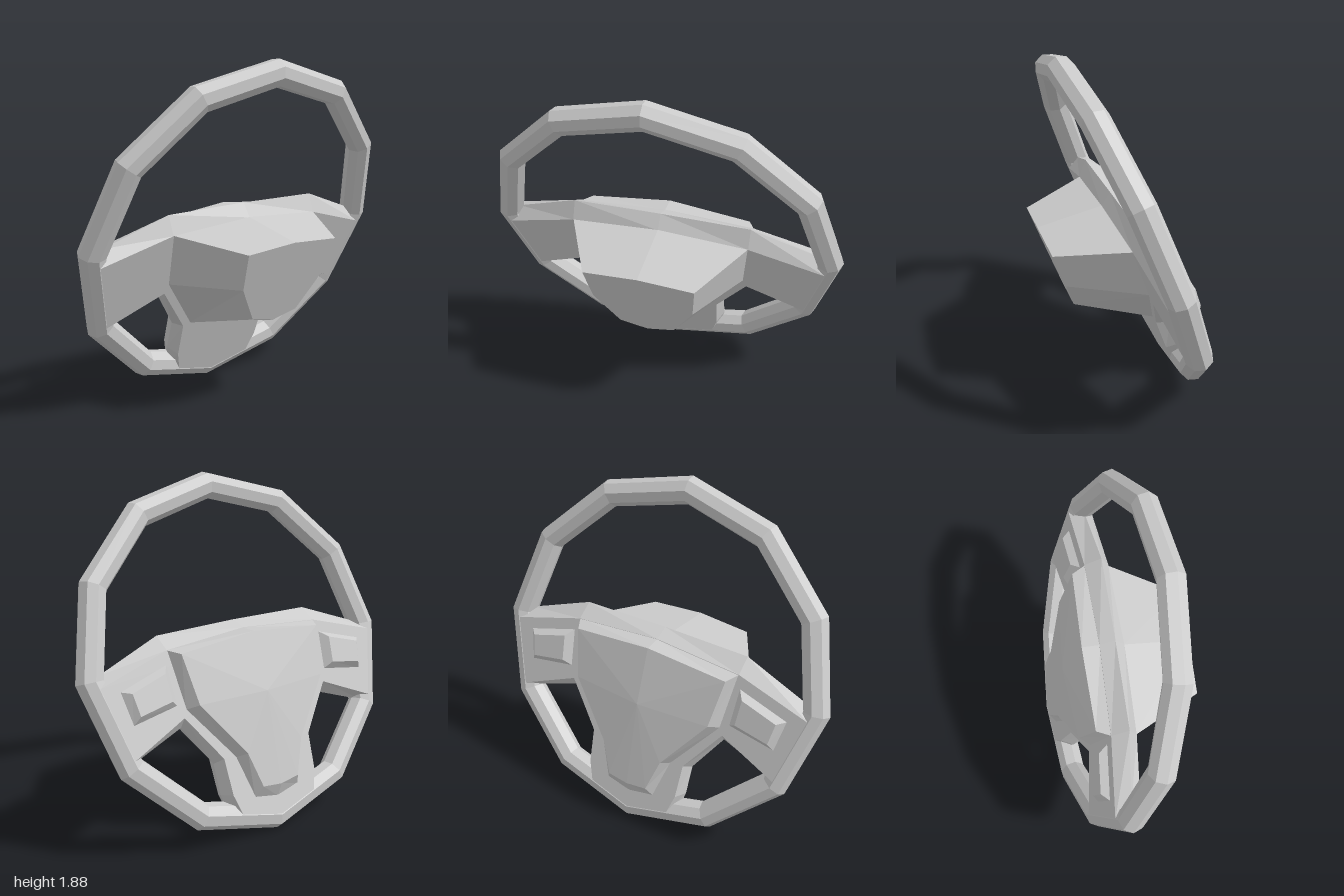
import * as THREE from 'three';

const material = new THREE.MeshStandardMaterial({ color: 0xcccccc, flatShading: true });

// Half outline (top centre, down the +x side, to bottom centre) mirrored into a closed loop
function mirrored(half) {
  const other = half.filter(p => p[0] > 0).map(([x, y, z]) => [-x, y, z]).reverse();
  return [...half, ...other];
}

const atZ = (points, z) => points.map(([x, y]) => [x, y, z]);

// Skins loops ordered from back (-z) to front (+z); each runs clockwise seen from +z.
// The back closes flat, or as a fan to an apex; the front closes flat if asked.
function loft(name, loops, { apex = null, capBack = false, capFront = false }) {
  const pos = [];
  const tri = (a, b, c) => pos.push(...a, ...b, ...c);
  const n = loops[0].length;
  for (let k = 0; k < loops.length - 1; k++) {
    const A = loops[k], B = loops[k + 1];
    for (let i = 0; i < n; i++) {
      const j = (i + 1) % n;
      tri(A[i], B[j], A[j]);
      tri(A[i], B[i], B[j]);
    }
  }
  const cap = (loop, sign) => {
    const flat = loop.map(p => new THREE.Vector2(p[0], p[1]));
    for (const [a, b, c] of THREE.ShapeUtils.triangulateShape(flat, [])) {
      const area = THREE.ShapeUtils.area([flat[a], flat[b], flat[c]]);
      if (area * sign > 0) tri(loop[a], loop[b], loop[c]);
      else tri(loop[a], loop[c], loop[b]);
    }
  };
  if (capBack) cap(loops[0], -1);
  if (capFront) cap(loops[loops.length - 1], 1);
  if (apex) loops[0].forEach((p, i) => tri(apex, p, loops[0][(i + 1) % n]));
  const geometry = new THREE.BufferGeometry();
  geometry.setAttribute('position', new THREE.Float32BufferAttribute(pos, 3));
  geometry.computeVertexNormals();
  const mesh = new THREE.Mesh(geometry, material);
  mesh.name = name;
  return mesh;
}

export function createModel() {
  const model = new THREE.Group();
  model.name = 'steeringWheel';

  // Everything is built in the wheel plane, then tilted
  const wheel = new THREE.Group();
  wheel.name = 'tiltedWheel';
  wheel.position.set(0, 0.941, -0.047);
  wheel.rotation.x = THREE.MathUtils.degToRad(20);
  model.add(wheel);

  // Twelve-sided rim with an octagonal section
  const rim = new THREE.Mesh(new THREE.TorusGeometry(0.925, 0.075, 8, 12), material);
  rim.name = 'rim';
  wheel.add(rim);

  // Spoke plate: two side arms and a lower arm, with bevelled edges
  const face = mirrored([
    [0, 0.117], [0.5, 0.08], [0.914, -0.04], [0.811, -0.425], [0.48, -0.28],
    [0.295, -0.54], [0.285, -0.74], [0.25, -0.855], [0, -0.92],
  ]);
  const edge = mirrored([
    [0, 0.172], [0.5, 0.165], [0.87, 0.025], [0.80, -0.45], [0.47, -0.33],
    [0.32, -0.56], [0.317, -0.73], [0.29, -0.845], [0, -0.925],
  ]);
  wheel.add(loft('spokes', [atZ(face, -0.073), atZ(edge, 0), atZ(face, 0.073)],
    { capBack: true, capFront: true }));

  // Tapered column housing on the front
  const housingBase = mirrored([
    [0, 0.118], [0.5, 0.08], [0.465, -0.227], [0.25, -0.53], [0, -0.573]]);
  const housingEnd = mirrored([
    [0, 0.169], [0.305, 0.146], [0.28, -0.07], [0.155, -0.28], [0, -0.32]]);
  wheel.add(loft('columnHousing', [atZ(housingBase, 0.068), atZ(housingEnd, 0.44)],
    { capFront: true }));

  // Centre pad on the driver's side, rising to a shallow peak
  const padBase = mirrored([
    [0, 0.117], [0.5, 0.08], [0.46, -0.24], [0.22, -0.55], [0.15, -0.79], [0, -0.82]]);
  const padTop = mirrored([
    [0, 0.085, -0.165], [0.46, 0.045, -0.14], [0.415, -0.23, -0.14],
    [0.185, -0.54, -0.14], [0.12, -0.735, -0.125], [0, -0.75, -0.125]]);
  wheel.add(loft('centrePad', [padTop, atZ(padBase, -0.068)], { apex: [0, -0.24, -0.175] }));

  // Raised button panels on the side arms
  const panelBase = [[0.52, 0.01], [0.81, -0.075], [0.775, -0.255], [0.505, -0.21]];
  const panelTop = [[0.56, -0.035], [0.765, -0.095], [0.745, -0.215], [0.55, -0.18]];
  for (const side of [1, -1]) {
    const flip = pts => {
      const moved = pts.map(([x, y]) => [x * side, y]);
      return side > 0 ? moved : moved.reverse();
    };
    wheel.add(loft(side > 0 ? 'leftButtonPanel' : 'rightButtonPanel',
      [atZ(flip(panelTop), -0.112), atZ(flip(panelBase), -0.07)], { capBack: true }));
  }

  return model;
}
